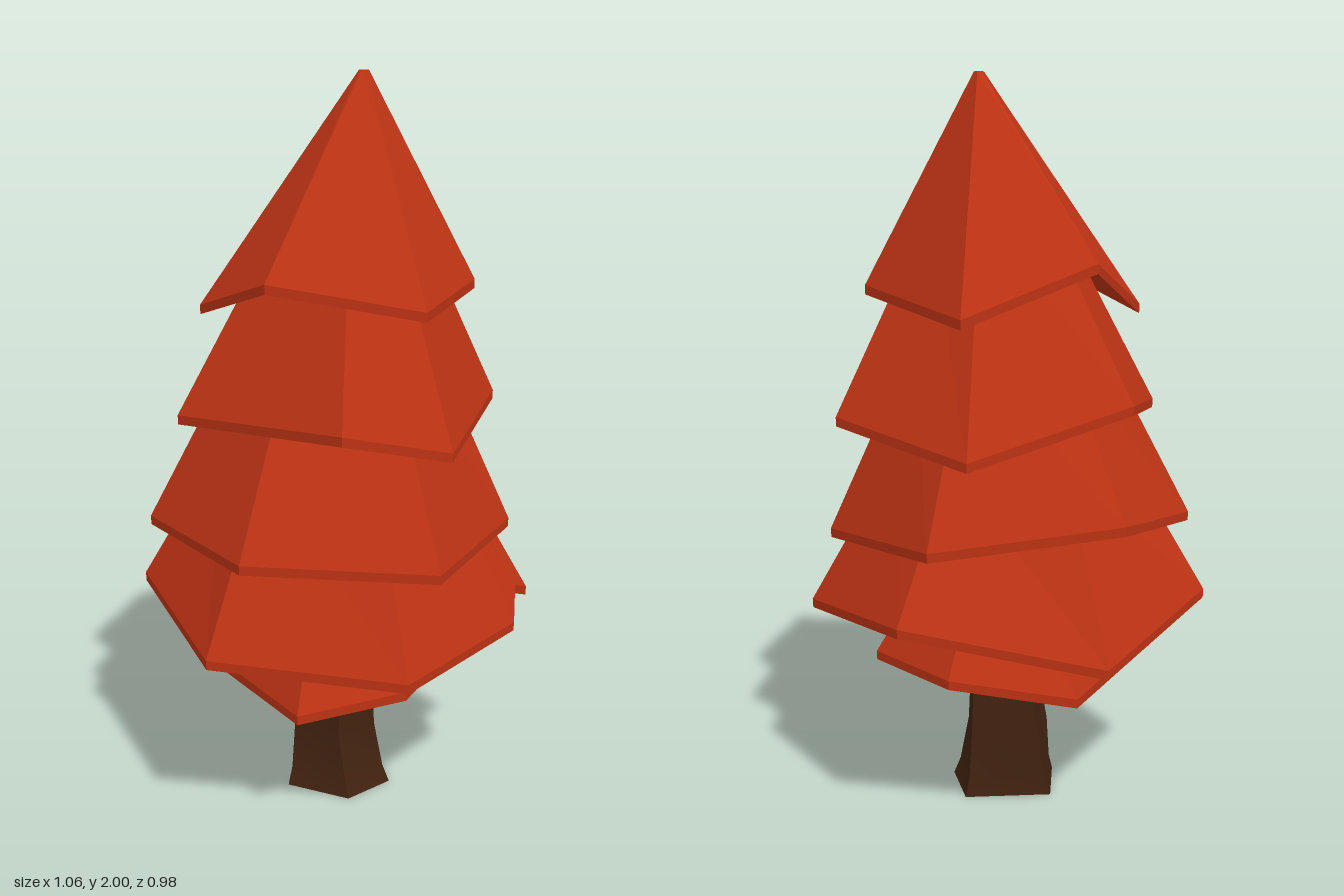
import * as THREE from 'three';
import { toCreasedNormals } from 'three/addons/utils/BufferGeometryUtils.js';

// Closed surface through rings of points, listed so that the outside faces out.
function loft(rings) {
  const pos = [];
  for (let r = 0; r + 1 < rings.length; r++) {
    const a = rings[r], b = rings[r + 1], n = a.length;
    for (let i = 0; i < n; i++) {
      const j = (i + 1) % n;
      pos.push(...a[i], ...b[i], ...b[j], ...a[i], ...b[j], ...a[j]);
    }
  }
  const geo = new THREE.BufferGeometry();
  geo.setAttribute('position', new THREE.Float32BufferAttribute(pos, 3));
  geo.computeVertexNormals();
  return geo;
}

// Hollow, uneven skirt of leaves: rim corners [x, y, z] drawn in towards a top ring.
function tier({ rim, top, scale }) {
  const [cx, ty, cz] = top;
  const ring = (s, yOf) => rim.map(([x, y, z]) => [cx + (x - cx) * s, yOf(y), cz + (z - cz) * s]);
  const flat = (y) => () => y;
  return loft([
    ring(0, flat(ty - 0.04)),
    ring(scale * 0.95, flat(ty - 0.04)),  // inside
    ring(0.998, (y) => y - 0.025),        // upright lip
    ring(1, (y) => y),                    // outer rim
    ring(scale, flat(ty)),                // outside
    ring(0, flat(ty)),
  ]);
}

const TIERS = [
  { // crown
    top: [0.09, 2, 0.04], scale: 0.035,
    rim: [[0.09, 1.52, -0.354], [0.414, 1.395, -0.184], [0.30, 1.45, 0.26],
      [-0.093, 1.415, 0.40], [-0.337, 1.48, 0.08], [-0.252, 1.39, -0.246]],
  },
  {
    top: [0.06, 1.65, 0.03], scale: 0.38,
    rim: [[0.02, 1.16, -0.42], [0.447, 1.055, -0.23], [0.44, 1.115, 0.235],
      [-0.02, 1.05, 0.435], [-0.354, 1.14, 0.35], [-0.368, 1.11, -0.218]],
  },
  {
    top: [0.03, 1.3, 0.01], scale: 0.5,
    rim: [[0.13, 0.875, -0.48], [0.485, 0.82, -0.13], [0.355, 0.775, 0.36],
      [-0.135, 0.765, 0.49], [-0.49, 0.80, 0.13], [-0.357, 0.80, -0.354]],
  },
  { // widest tier, with a notched front corner
    top: [0, 1.0, 0], scale: 0.56,
    rim: [[0.215, 0.525, -0.493], [0.527, 0.62, -0.063], [0.39, 0.57, 0.405],
      [0.31, 0.60, 0.42], [0.235, 0.525, 0.47], [-0.24, 0.50, 0.475],
      [-0.53, 0.535, 0.045], [-0.31, 0.60, -0.44]],
  },
  {
    top: [0, 0.75, 0.02], scale: 0.45,
    rim: [[0.12, 0.375, -0.325], [0.335, 0.425, -0.06], [0.285, 0.42, 0.26],
      [-0.09, 0.39, 0.35], [-0.345, 0.36, 0.19], [-0.25, 0.39, -0.25]],
  },
];

// Leaning five-sided trunk with a flared foot: [x, y, z, radius, twist in degrees]
const TRUNK = [
  [0.006, 0, 0.02, 0, 0], [0.006, 0, 0.02, 0.16, 0], [0.008, 0.05, 0.016, 0.143, 2],
  [0.013, 0.18, 0.008, 0.125, 8], [0.001, 0.4, 0.037, 0.098, 8], [0.02, 0.7, 0.04, 0.08, 8],
  [0.02, 0.7, 0.04, 0, 8],
];
const TRUNK_ANGLES = [5, 68, 127, 200, 267];

export function createModel() {
  const tree = new THREE.Group();
  tree.name = 'tree';
  const add = (geo, material, name) => {
    const mesh = new THREE.Mesh(geo, material);
    mesh.name = name;
    tree.add(mesh);
  };
  const leaves = new THREE.MeshStandardMaterial({ color: 0xbe3314, flatShading: true });
  const bark = new THREE.MeshStandardMaterial({ color: 0x412210 });

  // Trunk, smooth along its length and creased at its corners
  const trunk = loft(TRUNK.map(([x, y, z, r, twist]) => TRUNK_ANGLES.map((deg) => {
    const a = THREE.MathUtils.degToRad(deg + twist);
    return [x + r * Math.cos(a), y, z + r * Math.sin(a)];
  })));
  add(toCreasedNormals(trunk, 0.8), bark, 'trunk');

  // Foliage, from the crown down
  TIERS.forEach((t, i) => add(tier(t), leaves, `foliageTier${i + 1}`));
  return tree;
}
